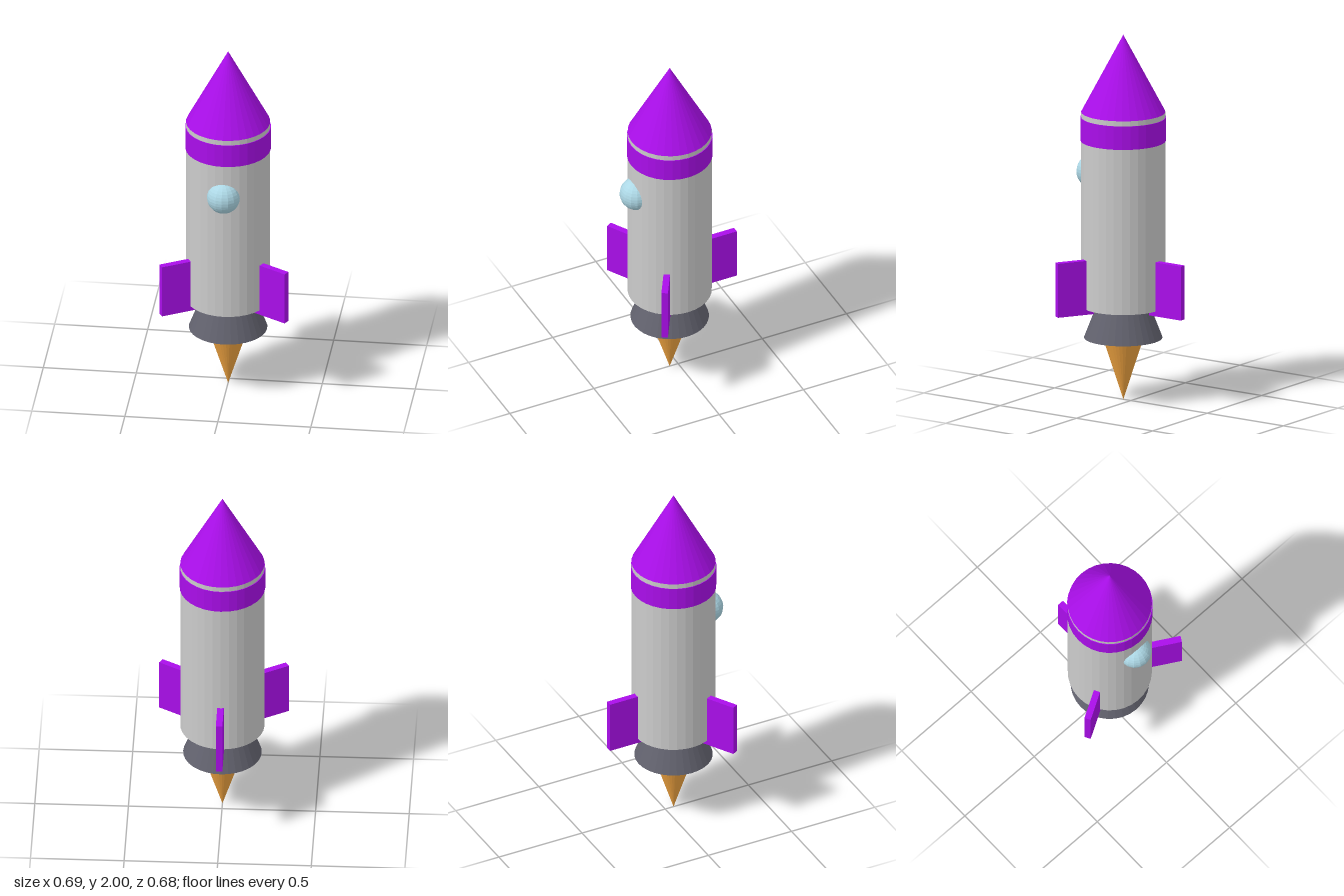
import * as THREE from 'three';

const mat = (color) => new THREE.MeshStandardMaterial({ color, flatShading: true });

export function createModel() {
  const rocket = new THREE.Group();
  rocket.name = 'rocket';
  rocket.position.z = 0.05; // the hull axis sits slightly forward

  const purple = mat(0xaa0eea);
  const grey = mat(0xcccccc);
  const darkGrey = mat(0x62626e);
  const orange = mat(0xf2a541);
  const glass = mat(0xadd8e6);

  const add = (name, geometry, material, parent = rocket) => {
    const mesh = new THREE.Mesh(geometry, material);
    mesh.name = name;
    parent.add(mesh);
    return mesh;
  };

  // Round section between two heights
  const section = (name, rBottom, rTop, y0, y1, material) => {
    const mesh = add(name, new THREE.CylinderGeometry(rTop, rBottom, y1 - y0, 32), material);
    mesh.position.y = (y0 + y1) / 2;
  };

  section('body', 0.225, 0.225, 0.515, 1.578, grey);
  section('band', 0.229, 0.229, 1.422, 1.55, purple);
  section('noseCone', 0.225, 0, 1.578, 2, purple);
  section('nozzle', 0.21, 0.125, 0.34, 0.56, darkGrey);
  section('flame', 0, 0.113, 0, 0.35, orange);

  // Porthole bulging from the front
  add('window', new THREE.SphereGeometry(0.09, 16, 16), glass).position.set(0, 1.225, 0.198);

  // Three fins, one straight back and two angled forward
  for (let i = 0; i < 3; i++) {
    const pivot = new THREE.Group();
    pivot.name = 'finMount' + (i + 1);
    pivot.rotation.y = (i * Math.PI * 2) / 3;
    rocket.add(pivot);
    const fin = add('fin', new THREE.BoxGeometry(0.035, 0.296, 0.21), purple, pivot);
    fin.position.set(0, 0.637, -0.285);
  }

  const model = new THREE.Group();
  model.name = 'model';
  model.add(rocket);
  return model;
}
